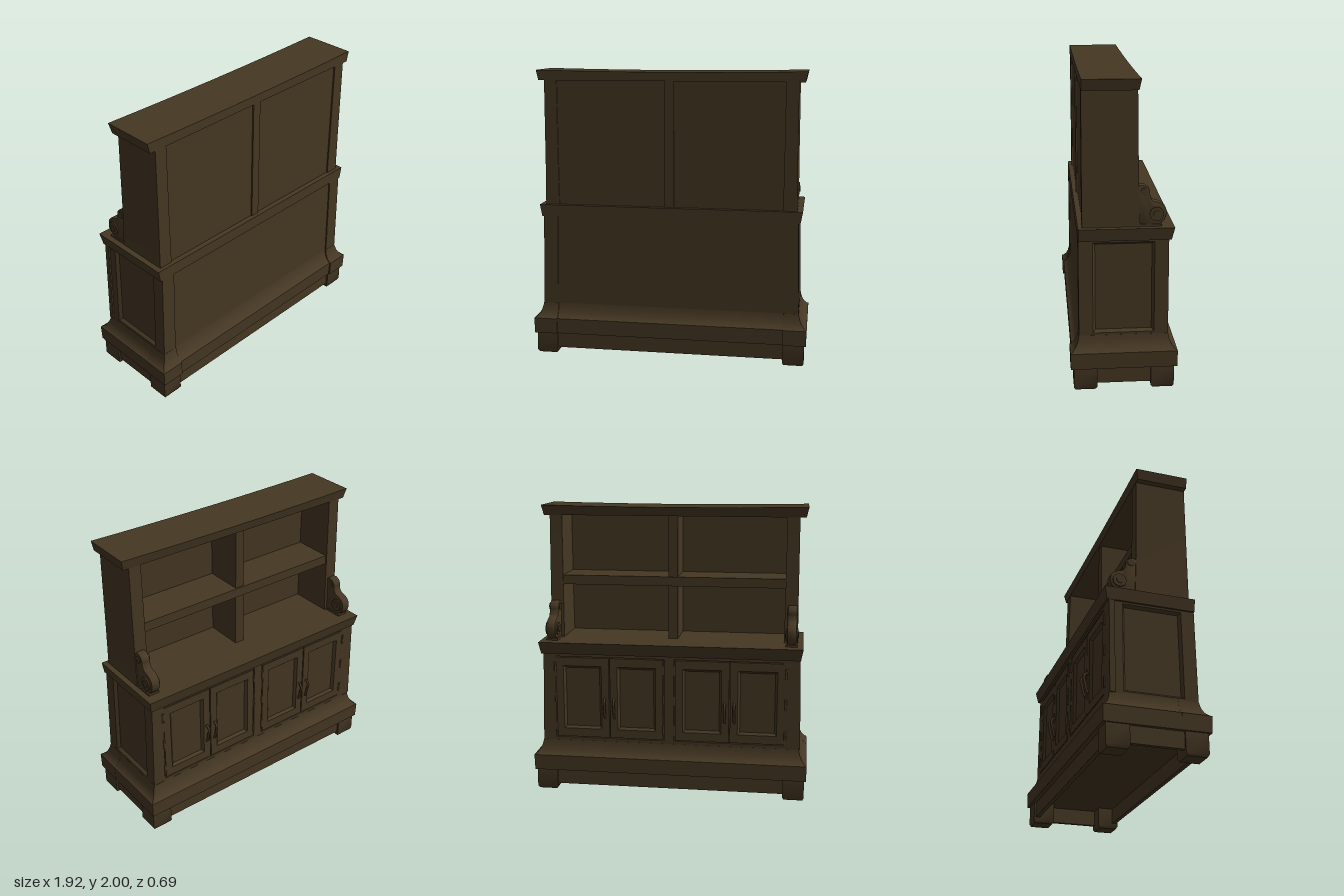
import * as THREE from 'three';
import { toCreasedNormals } from 'three/addons/utils/BufferGeometryUtils.js';

const wood = new THREE.MeshStandardMaterial({ color: 0x453723 });
wood.name = 'darkWood';

// Stack of rectangles [halfX, halfZ, y, centreX, centreZ], closed at both ends
function loft(sections) {
  const rings = sections.map(([hx, hz, y, cx = 0, cz = 0]) =>
    [[1, 1], [1, -1], [-1, -1], [-1, 1]].map(([sx, sz]) => [cx + sx * hx, y, cz + sz * hz]));
  const pos = [];
  const quad = (a, b, c, d) => pos.push(...a, ...b, ...c, ...a, ...c, ...d);
  for (let k = 0; k + 1 < rings.length; k++) {
    for (let i = 0; i < 4; i++) {
      const j = (i + 1) % 4;
      quad(rings[k][i], rings[k][j], rings[k + 1][j], rings[k + 1][i]);
    }
  }
  quad(...rings[rings.length - 1]);
  quad(...[...rings[0]].reverse());
  const geo = new THREE.BufferGeometry();
  geo.setAttribute('position', new THREE.Float32BufferAttribute(pos, 3));
  return toCreasedNormals(geo, 0.55);
}

// Box given by its limits
function slab(x0, x1, y0, y1, z0, z1) {
  return new THREE.BoxGeometry(x1 - x0, y1 - y0, z1 - z0)
    .translate((x0 + x1) / 2, (y0 + y1) / 2, (z0 + z1) / 2);
}

// Board with a sunken, bevelled panel, facing +z
function panelBoard(hw, hh, depth, inW, inH, bevel, sunk) {
  return loft([[hw, hh, 0], [hw, hh, depth], [inW, inH, depth],
    [inW - bevel, inH - bevel, depth - sunk]]).rotateX(Math.PI / 2);
}

// Narrows the lower cabinet slightly towards its top
function taper(geo) {
  const p = geo.attributes.position;
  for (let i = 0; i < p.count; i++) p.setX(i, p.getX(i) * (1 - 0.027 * (p.getY(i) - 0.36)));
  return geo;
}

export function createModel() {
  const model = new THREE.Group();
  model.name = 'sideboard';
  const add = (name, geo) => {
    const mesh = new THREE.Mesh(geo, wood);
    mesh.name = name;
    model.add(mesh);
    return mesh;
  };

  // Plinth: upright band with a concave moulding; corners stand proud at the +z side
  const profile = [[0.955, 0.342, 0.15], [0.958, 0.344, 0.258], [0.945, 0.33, 0.265],
    [0.925, 0.309, 0.288], [0.911, 0.297, 0.315], [0.903, 0.289, 0.345], [0.9, 0.287, 0.36]];
  add('plinth', loft(profile.map(([x, z, y]) => [x, z - 0.005, y, 0, -0.005])));
  for (const s of [-1, 1]) {
    add('plinthCorner', loft(profile.map(([x, z, y]) =>
      [(x - 0.795) / 2 + 0.001, (z - 0.15) / 2, y, s * (x + 0.795) / 2, (z + 0.15) / 2])));
  }

  // Feet and the hollow skirt between them
  for (const s of [-1, 1]) {
    for (const t of [-1, 1]) {
      add('foot', loft([[0.064, 0.064, 0], [0.074, 0.075, 0.018], [0.073, 0.075, 0.15]])
        .translate(s * 0.87, 0, t * 0.248));
    }
    add('skirtEnd', slab(-0.015, 0.015, 0.04, 0.15, -0.18, 0.18).translate(s * 0.915, 0, 0));
    add('skirtLong', slab(-0.8, 0.8, 0.04, 0.15, -0.015, 0.015).translate(0, 0, s * 0.295));
  }

  // Lower cabinet: core, panelled ends, stiles and rails
  add('cabinetCore', taper(slab(-0.868, 0.868, 0.36, 0.99, -0.262, 0.277)));
  for (const s of [-1, 1]) {
    add('endPanel', taper(panelBoard(0.286, 0.315, 0.03, 0.196, 0.3, 0.016, 0.022)
      .rotateY(s * Math.PI / 2).translate(s * 0.869, 0.675, 0)));
    const [a, b] = s > 0 ? [0.797, 0.898] : [-0.898, -0.797];
    add('rearStile', taper(slab(a, b, 0.36, 0.99, 0.25, 0.286)));
    add('frontStile', taper(slab(a + s * 0.012, b, 0.36, 0.99, -0.286, -0.25)));
  }
  add('centreStile', slab(-0.034, 0.034, 0.36, 0.99, -0.286, -0.25));
  add('topRail', slab(-0.81, 0.81, 0.968, 0.99, -0.286, -0.25));
  add('bottomRail', slab(-0.81, 0.81, 0.35, 0.382, -0.286, -0.25));

  // Four doors in two pairs, with hinges and bowed handles
  for (const s of [-1, 1]) {
    for (const x of [0.229, 0.611]) {
      add('door', panelBoard(0.187, 0.287, 0.026, 0.135, 0.227, 0.016, 0.018)
        .rotateY(Math.PI).translate(s * x, 0.675, -0.26));
    }
    for (const x of [0.038, 0.803]) {
      for (const y of [0.46, 0.675, 0.89]) {
        add('hinge', new THREE.CylinderGeometry(0.008, 0.008, 0.07, 10)
          .translate(s * x, y, -0.286));
      }
    }
    for (const d of [-0.033, 0.033]) {
      const path = new THREE.CatmullRomCurve3([[0.665, -0.275], [0.668, -0.3], [0.645, -0.316],
        [0.6, -0.307], [0.54, -0.291], [0.53, -0.275]]
        .map(([y, z]) => new THREE.Vector3(s * 0.42 + d, y, z)));
      add('handle', new THREE.TubeGeometry(path, 24, 0.009, 8));
    }
  }

  // Counter with outward sloping edges
  add('counter', loft([[0.897, 0.293, 0.988, 0, -0.007], [0.912, 0.302, 1.07, 0, -0.016]]));

  // Hutch: thick sides, shelf, divider and rear boards
  for (const s of [-1, 1]) {
    add('hutchSide', loft([[0.048, 0.1825, 1.06, s * 0.826, 0.0775],
      [0.045, 0.177, 1.35, s * 0.825, 0.083], [0.043, 0.1725, 1.94, s * 0.823, 0.0875]]));
  }
  add('rearPanel', slab(-0.79, 0.79, 1.06, 1.94, 0.2, 0.25));
  add('rearDivider', slab(-0.031, 0.031, 1.06, 1.94, 0.24, 0.26));
  add('shelf', slab(-0.79, 0.79, 1.445, 1.51, -0.082, 0.21));
  add('divider', slab(-0.034, 0.034, 1.06, 1.94, -0.07, 0.21));

  // Cornice: sloping edges, slightly sagging top
  const cornice = new THREE.BoxGeometry(2, 1, 1, 8, 1, 1);
  const p = cornice.attributes.position;
  for (let i = 0; i < p.count; i++) {
    const x = p.getX(i), top = p.getY(i) > 0, rear = p.getZ(i) > 0;
    p.setXYZ(i, x * (top ? 0.923 : 0.907), top ? 2 - 0.01 * (1 - x * x) : 1.93,
      rear ? 0.26 : top ? -0.102 : -0.088);
  }
  cornice.computeVertexNormals();
  add('cornice', cornice);

  // Carved scroll brackets on the counter
  const outline = new THREE.Shape();
  outline.moveTo(0.09, 1.075);
  outline.lineTo(0.09, 1.32);
  outline.splineThru([[0.125, 1.325], [0.155, 1.3], [0.16, 1.262], [0.18, 1.228], [0.225, 1.212],
    [0.256, 1.185], [0.262, 1.145], [0.248, 1.108], [0.22, 1.09]]
    .map(([a, b]) => new THREE.Vector2(a, b)));
  outline.lineTo(0.2, 1.075);
  for (const s of [-1, 1]) {
    const scroll = new THREE.ExtrudeGeometry(outline, { depth: 0.046, curveSegments: 24,
      bevelThickness: 0.01, bevelSize: 0.008, bevelSegments: 2 });
    // outline's first axis runs towards -z
    add('scrollBracket', toCreasedNormals(scroll.translate(0, 0, -0.023)
      .rotateY(Math.PI / 2).translate(s * 0.832, 0, 0), 0.6));
    for (const [r, y, z, w] of [[0.045, 1.15, -0.208, 0.084], [0.022, 1.15, -0.208, 0.096],
      [0.024, 1.293, -0.128, 0.078]]) {
      add('volute', new THREE.CylinderGeometry(r, r, w, 20).rotateZ(Math.PI / 2)
        .translate(s * 0.832, y, z));
    }
    add('scrollFoot', slab(-0.04, 0.04, 1.065, 1.085, -0.24, -0.08).translate(s * 0.832, 0, 0));
  }
  return model;
}
